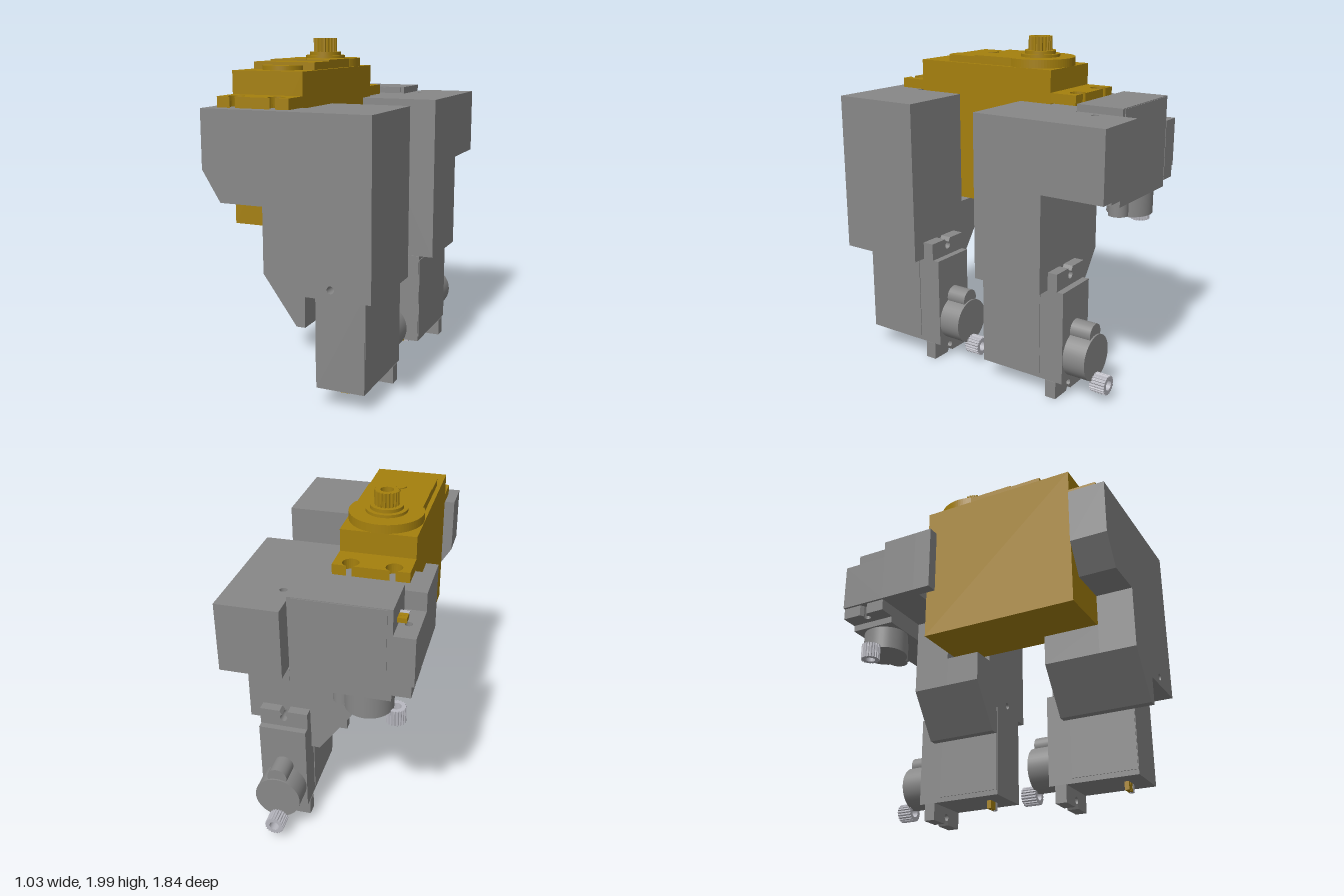
import * as THREE from 'three';

const grey = new THREE.MeshStandardMaterial({ color: 0x888888 });
grey.name = 'grey plastic';
const gold = new THREE.MeshStandardMaterial({ color: 0xa5800d });
gold.name = 'gold casing';
const silver = new THREE.MeshStandardMaterial({ color: 0xb8b8c0 });
silver.name = 'silver metal';

function add(parent, name, geo, mat) {
  const m = new THREE.Mesh(geo, mat);
  m.name = name;
  parent.add(m);
  return m;
}

// Box given by its minimum and maximum on each axis
function box(parent, name, mat, x0, x1, y0, y1, z0, z1) {
  const m = add(parent, name, new THREE.BoxGeometry(x1 - x0, y1 - y0, z1 - z0), mat);
  m.position.set((x0 + x1) / 2, (y0 + y1) / 2, (z0 + z1) / 2);
  return m;
}

function polygon(pts) {
  return new THREE.Shape(pts.map(p => new THREE.Vector2(p[0], p[1])));
}

function hole(shape, x, y, r) {
  shape.holes.push(new THREE.Path().absarc(x, y, r, 0, Math.PI * 2, true));
  return shape;
}

// Extrude a front-facing outline between two z positions
function slab(parent, name, mat, shape, z0, z1) {
  const geo = new THREE.ExtrudeGeometry(shape, { depth: z1 - z0, bevelEnabled: false, curveSegments: 20 });
  geo.translate(0, 0, z0);
  return add(parent, name, geo, mat);
}

// Extrude an outline drawn in (x, -z) upwards between two heights
function plate(parent, name, mat, shape, y0, y1) {
  const geo = new THREE.ExtrudeGeometry(shape, { depth: y1 - y0, bevelEnabled: false, curveSegments: 24 });
  geo.rotateX(-Math.PI / 2);
  geo.translate(0, y0, 0);
  return add(parent, name, geo, mat);
}

// Toothed outline with a screw hole
function splineShape(r, bore, teeth) {
  const pts = [];
  for (let i = 0; i < teeth * 4; i++) {
    const a = (i / (teeth * 4)) * Math.PI * 2;
    const q = i % 4 < 2 ? r : r * 0.9;
    pts.push([Math.cos(a) * q, Math.sin(a) * q]);
  }
  return hole(polygon(pts), 0, 0, bore);
}

// Small servo: back at z = 0, output shaft toward -z, wire end at y = 0
function smallServo(name) {
  const g = new THREE.Group();
  g.name = name;
  box(g, 'servoBody', grey, -0.142, 0.142, 0, 0.555, -0.55, 0);
  for (const s of [-1, 1]) {
    box(g, 'sidePanel', grey, s * 0.1435 - 0.003, s * 0.1435 + 0.003, 0.03, 0.53, -0.4, -0.004);
  }
  // mounting ears with keyhole slots
  for (const s of [-1, 1]) {
    const ear = new THREE.Shape();
    ear.moveTo(-0.145, 0);
    ear.lineTo(0.145, 0);
    ear.lineTo(0.145, 0.105);
    ear.lineTo(0.025, 0.105);
    ear.lineTo(0.01, 0.08);
    ear.absarc(0, 0.06, 0.022, 1.1, Math.PI - 1.1, true);
    ear.lineTo(-0.01, 0.08);
    ear.lineTo(-0.025, 0.105);
    ear.lineTo(-0.145, 0.105);
    const m = slab(g, 'mountingEar', grey, ear, -0.51, -0.44);
    if (s < 0) m.rotation.z = Math.PI;
    else m.position.y = 0.555;
    if (s < 0) m.position.y = 0;
  }
  // gear housing
  const hub = add(g, 'gearHousing', new THREE.CylinderGeometry(0.138, 0.138, 0.14, 40), grey);
  hub.rotation.x = Math.PI / 2;
  hub.position.set(0, 0.15, -0.62);
  const small = add(g, 'idlerHousing', new THREE.CylinderGeometry(0.06, 0.06, 0.13, 28), grey);
  small.rotation.x = Math.PI / 2;
  small.position.set(0, 0.295, -0.615);
  // output shaft
  slab(g, 'outputShaft', silver, splineShape(0.058, 0.03, 20), -0.775, -0.68);
  // wire pins
  [gold, gold, silver].forEach((mat, i) => {
    const x = (i - 1) * 0.03;
    box(g, 'wirePin', mat, x - 0.0135, x + 0.0135, -0.05, 0.01, -0.125, -0.098);
  });
  return g;
}

function frontBracket() {
  const g = new THREE.Group();
  g.name = 'frontBracket';
  const lower = [[-0.105, 0.77], [0.09, 0.5], [0.14, 0.5], [0.14, 0.67], [0.515, 0.67], [0.515, 1.64]];
  const face = polygon([[-0.47, 1.64], [-0.47, 1.31], [-0.36, 1.135], [-0.105, 1.135], ...lower]);
  slab(g, 'bracketFace', grey, hole(face, 0.287, 0.725, 0.021), 0.7, 0.92);
  const side = polygon([[0.05, 1.64], [0.05, 0.95], [-0.105, 0.95], ...lower]);
  slab(g, 'bracketSide', grey, hole(side, 0.287, 0.725, 0.021), 0.36, 0.7);
  return g;
}

function rearBracket() {
  const g = new THREE.Group();
  g.name = 'rearBracket';
  const lower = [[-0.105, 0.77], [0.09, 0.5], [0.14, 0.5], [0.14, 0.67], [0.515, 0.67], [0.515, 1.64]];
  const back = polygon([[-0.52, 1.64], [-0.52, 1.24], [-0.105, 1.24], ...lower]);
  slab(g, 'bracketBack', grey, hole(back, 0.287, 0.725, 0.021), -0.54, -0.31);
  const side = polygon([[0.05, 1.64], [0.05, 0.95], [-0.105, 0.95], ...lower]);
  slab(g, 'bracketSide', grey, hole(side, 0.287, 0.725, 0.021), -0.31, -0.095);
  box(g, 'bracketLip', grey, -0.52, -0.45, 1.24, 1.64, -0.31, -0.2);
  // arms that hold the sideways servo
  const arm = polygon([[0.165, 0.54], [0.515, 0.54], [0.515, 0.92], [0.165, 0.92]]);
  plate(g, 'rearArm', grey, hole(arm, 0.215, 0.69, 0.021), 1.24, 1.64);
  const shelf = polygon([[-0.52, 0.54], [-0.4, 0.54], [-0.4, 0.83], [-0.52, 0.83]]);
  plate(g, 'rearShelf', grey, hole(shelf, -0.455, 0.69, 0.021), 1.24, 1.53);
  return g;
}

// Large servo, upright between the brackets
function largeServo() {
  const g = new THREE.Group();
  g.name = 'largeServo';
  const cx = -0.195, cz = -0.075;
  box(g, 'servoBody', gold, -0.41, 0.02, 0.97, 1.83, -0.285, 0.68);

  // mounting flanges with screw notches breaking the outer edge
  for (const [zIn, zOut, zHole] of [[-0.285, -0.455, -0.412], [0.68, 0.845, 0.797]]) {
    const s = Math.sign(zOut), v0 = Math.abs(zIn), v1 = Math.abs(zOut), vh = Math.abs(zHole);
    const pts = [[-0.41, v0], [0.02, v0], [0.02, v1]];
    for (const x of [-0.075, -0.315]) {
      for (let i = 0; i <= 24; i++) {
        const a = Math.PI / 2 - 0.35 - (i / 24) * (Math.PI * 2 - 0.7);
        pts.push([x + Math.cos(a) * 0.047, i % 24 ? vh + Math.sin(a) * 0.047 : v1]);
      }
    }
    pts.push([-0.41, v1]);
    plate(g, 'mountingFlange', gold, polygon(pts.map(p => [p[0], -s * p[1]])), 1.64, 1.7);
  }

  // raised lid
  const lid = new THREE.Shape();
  lid.moveTo(-0.385, -0.285);
  lid.lineTo(-0.005, -0.285);
  lid.lineTo(-0.005, 0);
  lid.absarc(cx, -cz, 0.213, -0.4, Math.PI + 0.4, false);
  lid.lineTo(-0.385, 0);
  plate(g, 'lid', gold, lid, 1.83, 1.88);
  box(g, 'lidStep', gold, -0.385, -0.005, 1.83, 1.872, 0.285, 0.48);
  const halfDisc = new THREE.Shape().absarc(cx, -0.48, 0.12, Math.PI, Math.PI * 2, false);
  plate(g, 'lidTongue', gold, halfDisc, 1.83, 1.855);
  const mark = new THREE.Shape().absarc(cx, -0.285, 0.042, 0, Math.PI, false);
  plate(g, 'lidMark', gold, mark, 1.88, 1.886);

  // shaft collars and output shaft
  for (const [r, y0, y1] of [[0.12, 1.88, 1.897], [0.095, 1.897, 1.917]]) {
    const c = add(g, 'shaftCollar', new THREE.CylinderGeometry(r, r, y1 - y0, 40), gold);
    c.position.set(cx, (y0 + y1) / 2, cz);
  }
  plate(g, 'outputShaft', gold, splineShape(0.072, 0.038, 20), 1.91, 2).position.set(cx, 0, cz);
  return g;
}

export function createModel() {
  const model = new THREE.Group();
  model.name = 'servoLegAssembly';
  model.add(frontBracket(), rearBracket(), largeServo());

  const front = smallServo('frontLowerServo');
  front.position.set(0.287, 0.115, 0.8);
  const rear = smallServo('rearLowerServo');
  rear.position.set(0.287, 0.115, -0.09);
  // sideways servo with its shaft pointing down
  const side = smallServo('sidewaysServo');
  side.quaternion.setFromRotationMatrix(new THREE.Matrix4().makeBasis(
    new THREE.Vector3(0, 0, 1), new THREE.Vector3(1, 0, 0), new THREE.Vector3(0, 1, 0)));
  side.position.set(-0.4, 1.68, -0.685);
  model.add(front, rear, side);
  return model;
}
